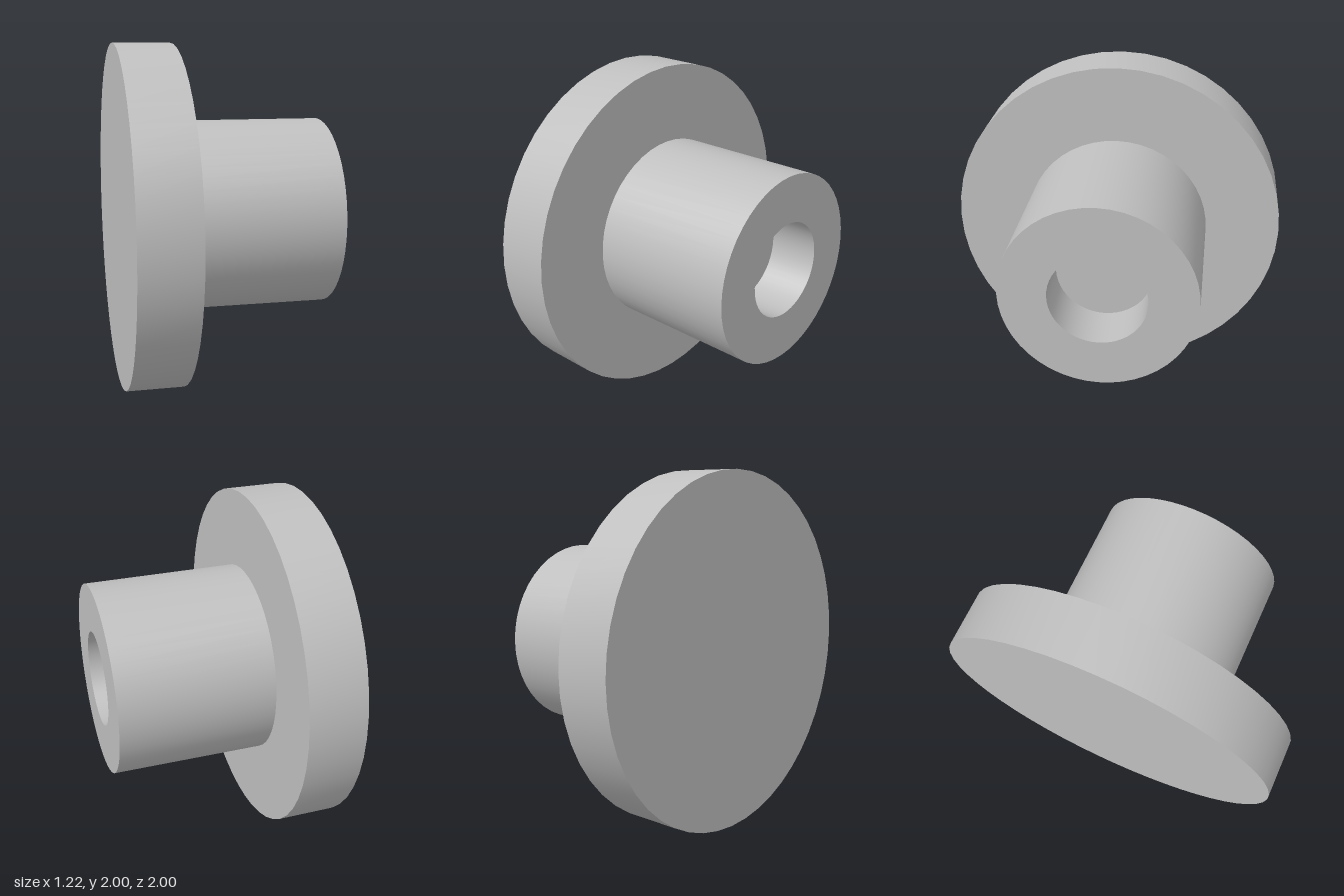
import * as THREE from 'three';
import { toCreasedNormals } from 'three/addons/utils/BufferGeometryUtils.js';

const BACK = -0.61, STEP = -0.28, END = 0.61;   // stations along x
const FLANGE_R = 1, HUB_R = 0.555, BORE_R = 0.278, BORE_DEPTH = 0.295;
const SEGMENTS = 48;

// Turn a profile of [radius, x] points about the x axis, keeping edges sharp
function turned(name, profile, material) {
  const points = profile.map(([r, x]) => new THREE.Vector2(r, x));
  const geometry = new THREE.LatheGeometry(points, SEGMENTS).rotateZ(-Math.PI / 2);
  const mesh = new THREE.Mesh(toCreasedNormals(geometry, Math.PI / 6), material);
  mesh.name = name;
  return mesh;
}

export function createModel() {
  const model = new THREE.Group();
  model.name = 'flangedBushing';

  const grey = new THREE.MeshStandardMaterial({ color: 0xbfbfbf });
  grey.name = 'plain grey';

  // Wide disc with a closed back, open only where the hub joins it
  const flange = turned('flange', [
    [0, BACK], [FLANGE_R, BACK], [FLANGE_R, STEP], [HUB_R, STEP],
  ], grey);

  // Hub with a blind bore in its end
  const hub = turned('hub', [
    [HUB_R, STEP], [HUB_R, END], [BORE_R, END],
    [BORE_R, END - BORE_DEPTH], [0, END - BORE_DEPTH],
  ], grey);

  model.add(flange, hub);
  model.position.y = FLANGE_R;

  const root = new THREE.Group();
  root.name = 'model';
  root.add(model);
  return root;
}
